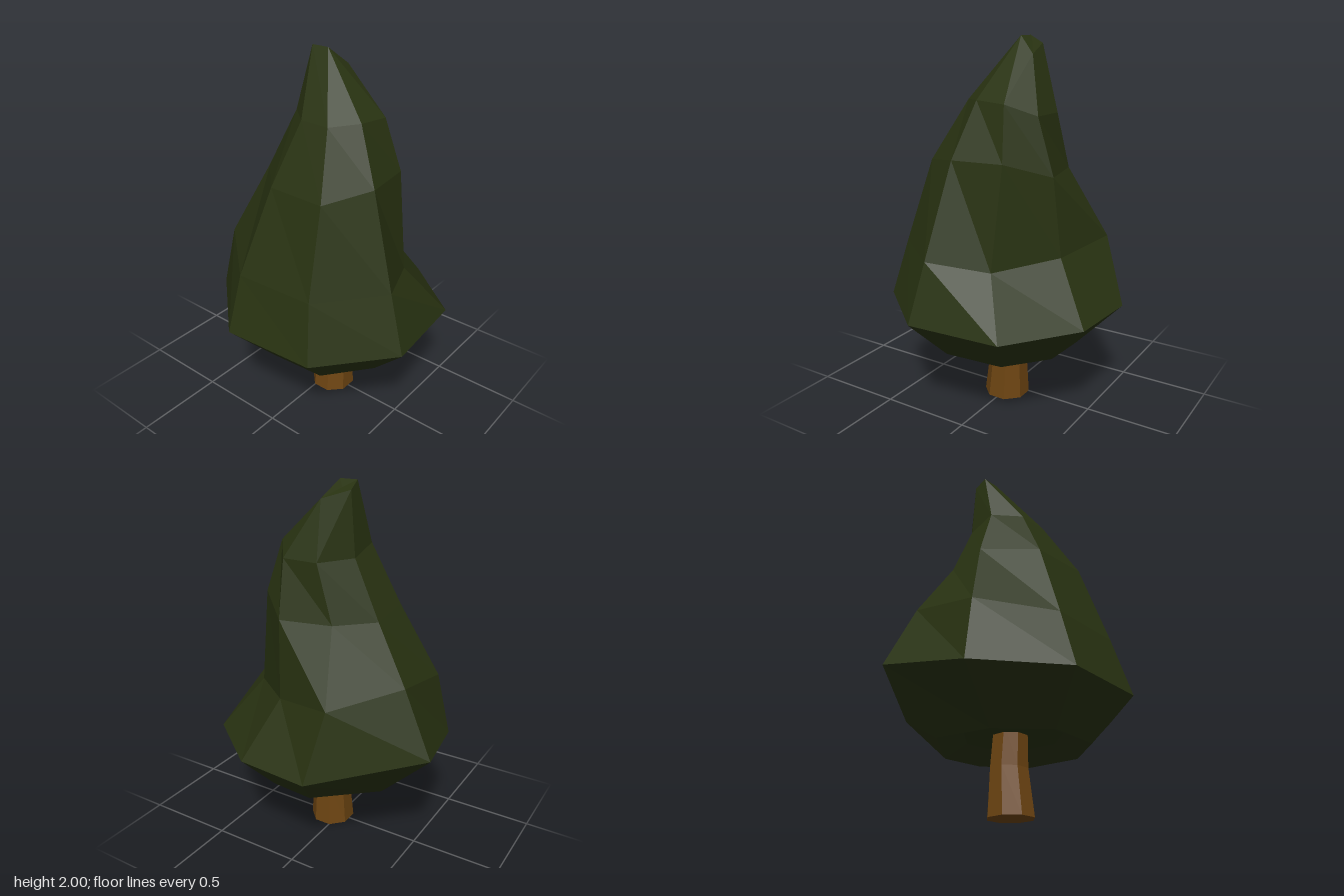
import * as THREE from 'three';

// Skin a stack of equal-sized rings, closing both ends with fans; collapsed corners are skipped.
function loft(rings, startCentre, endCentre) {
  const pos = [];
  const same = (p, q) => p[0] === q[0] && p[1] === q[1] && p[2] === q[2];
  const tri = (a, b, c) => {
    if (!same(a, b) && !same(b, c) && !same(c, a)) pos.push(...a, ...b, ...c);
  };
  const n = rings[0].length;
  const last = rings[rings.length - 1];
  for (let j = 0; j < n; j++) {
    const k = (j + 1) % n;
    for (let i = 0; i < rings.length - 1; i++) {
      const low = rings[i], up = rings[i + 1];
      tri(low[j], up[j], up[k]);
      tri(low[j], up[k], low[k]);
    }
    tri(startCentre, rings[0][j], rings[0][k]);
    tri(endCentre, last[k], last[j]);
  }
  const geo = new THREE.BufferGeometry();
  geo.setAttribute('position', new THREE.Float32BufferAttribute(pos, 3));
  geo.computeVertexNormals();
  return geo;
}

// Regular ring, running from +x towards +z
function octagon(rx, rz, y, cx, cz) {
  return Array.from({ length: 8 }, (_, j) => {
    const a = ((j + 0.5) / 8) * Math.PI * 2;
    const s = 1 / Math.cos(Math.PI / 8);
    return [cx + rx * s * Math.cos(a), y, cz + rz * s * Math.sin(a)];
  });
}

function createFoliage(material) {
  // Eight ridges, starting at the +x side and turning towards the front
  const widest = [
    [0.61, 0.585, -0.16], [0.58, 0.585, 0.25], [0.3, 0.58, 0.61], [-0.21, 0.585, 0.655],
    [-0.58, 0.585, 0.34], [-0.615, 0.585, -0.18], [-0.27, 0.6, -0.56], [0.2, 0.67, -0.66],
  ];
  const lower = [
    [0.48, 0.95, -0.215], [0.38, 0.9, 0.13], [0.14, 0.86, 0.42], [-0.175, 0.9, 0.55],
    [-0.5, 0.9, 0.285], [-0.52, 0.9, -0.165], [-0.24, 0.95, -0.49], [0.17, 1.02, -0.49],
  ];
  const middle = [
    [0.28, 1.32, -0.13], [0.34, 1.32, 0.15], [0.165, 1.4, 0.35], [-0.115, 1.4, 0.385],
    [-0.35, 1.36, 0.24], [-0.34, 1.36, -0.09], [-0.11, 1.36, -0.31], [0.11, 1.32, -0.3],
  ];
  const upper = [
    [0.26, 1.62, -0.03], [0.26, 1.62, 0.17], [0.125, 1.68, 0.27], [-0.05, 1.69, 0.25],
    [-0.175, 1.68, 0.14], [-0.17, 1.68, -0.03], [-0.05, 1.68, -0.165], [0.11, 1.63, -0.16],
  ];
  // Ridges merge in pairs at the tip
  const tipBack = [0.11, 1.96, -0.135], tipSide = [0.14, 1.91, 0.02];
  const tipFront = [0.04, 2, -0.03], tipLeft = [0.04, 2, -0.13];
  const tip = [tipBack, tipSide, tipSide, tipFront, tipFront, tipLeft, tipLeft, tipBack];
  // Tucked-in rim and the shallow hollow beneath
  const rim = widest.map(([x, , z]) => [x * 0.64, 0.355, z * 0.6 + 0.045]);
  const hollow = rim.map(([x, , z]) => [x * 0.66, 0.42, (z - 0.045) * 0.66 + 0.045]);

  const mesh = new THREE.Mesh(
    loft([hollow, rim, widest, lower, middle, upper, tip], [0, 0.42, 0.045], [0.085, 1.965, -0.07]),
    material
  );
  mesh.name = 'foliage';
  return mesh;
}

function createTrunk(material) {
  const rings = [
    octagon(0.118, 0.115, 0, 0, 0.045),
    octagon(0.095, 0.1, 0.25, 0.01, 0.045),
    octagon(0.088, 0.088, 0.46, 0, 0.045),
  ];
  const mesh = new THREE.Mesh(loft(rings, [0, 0.03, 0.045], [0, 0.46, 0.045]), material);
  mesh.name = 'trunk';
  return mesh;
}

export function createModel() {
  const leafGreen = new THREE.MeshStandardMaterial({ color: 0x283211, flatShading: true });
  leafGreen.name = 'leaf green';
  const barkBrown = new THREE.MeshStandardMaterial({ color: 0x6e4512, flatShading: true });
  barkBrown.name = 'bark brown';

  const tree = new THREE.Group();
  tree.name = 'tree';
  tree.add(createTrunk(barkBrown), createFoliage(leafGreen));
  return tree;
}
